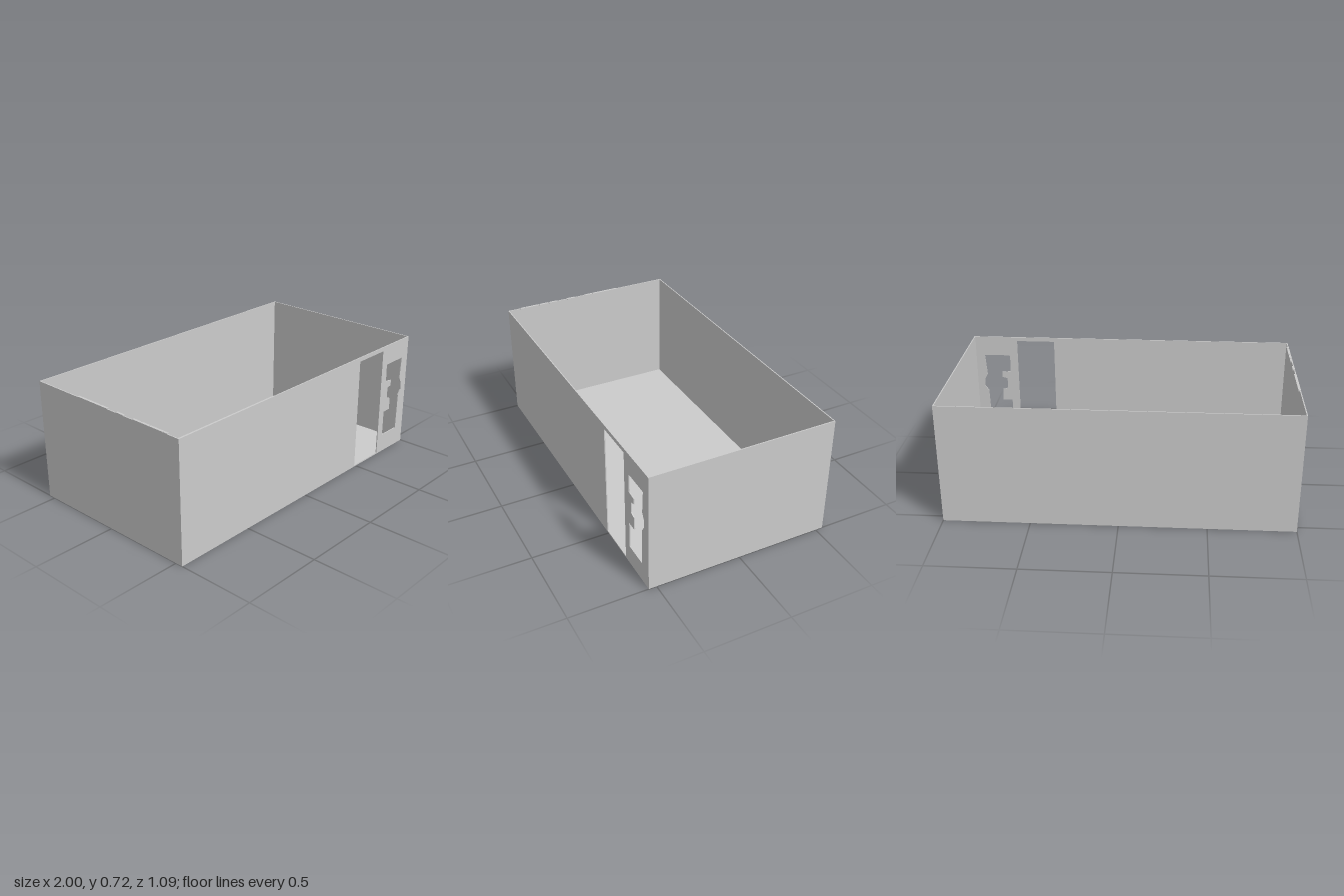
import * as THREE from 'three';

const W = 2, H = 0.715, D = 1.09, T = 0.006;

export function createModel() {
  const group = new THREE.Group();
  const material = new THREE.MeshStandardMaterial({ color: 0xcccccc, flatShading: true });

  const add = (name, geometry, x, y, z) => {
    const mesh = new THREE.Mesh(geometry, material);
    mesh.name = name;
    mesh.position.set(x, y, z);
    group.add(mesh);
  };
  const box = (name, w, h, d, x, y, z) => add(name, new THREE.BoxGeometry(w, h, d), x, y, z);
  const outline = (pts) => pts.map(([x, y]) => new THREE.Vector2(x, y));

  // Floor and the three plain walls
  box('floor', W, T, D, 0, T / 2, 0);
  box('backWall', W - 2 * T, H - T, T, 0, (H + T) / 2, -(D - T) / 2);
  for (const [name, side] of [['leftWall', 1], ['rightWall', -1]]) {
    box(name, T, H - T, D, side * (W - T) / 2, (H + T) / 2, 0);
  }

  // Front wall, cut through by a doorway and a stepped window
  const w = W / 2 - T;
  const front = new THREE.Shape(outline([[-w, T], [w, T], [w, H], [-w, H]]));
  const doorway = [[0.485, 0.008], [0.485, 0.69], [0.725, 0.69], [0.725, 0.008]];
  const window = [
    [0.775, 0.585], [0.782, 0.59], [0.94, 0.59], [0.93, 0.455], [0.95, 0.42], [0.951, 0.375],
    [0.928, 0.34], [0.922, 0.115], [0.775, 0.115], [0.775, 0.275], [0.835, 0.275],
    [0.833, 0.35], [0.8, 0.36], [0.8, 0.43], [0.833, 0.437], [0.833, 0.472], [0.777, 0.478],
  ];
  front.holes.push(new THREE.Path(outline(doorway)), new THREE.Path(outline(window)));
  add('frontWall', new THREE.ExtrudeGeometry(front, { depth: T, bevelEnabled: false }), 0, 0, D / 2 - T);

  // Fine uneven lip along the top of the right wall: [start z, end z]
  const lips = [[-0.215, -0.04], [-0.035, 0.02], [0.09, 0.145], [0.215, 0.27],
    [0.275, 0.335], [0.34, 0.43], [0.435, 0.465]];
  for (const [a, b] of lips) {
    box('rimLip', 0.014, 0.006, b - a, -W / 2 + 0.007, H, (a + b) / 2);
  }
  return group;
}
